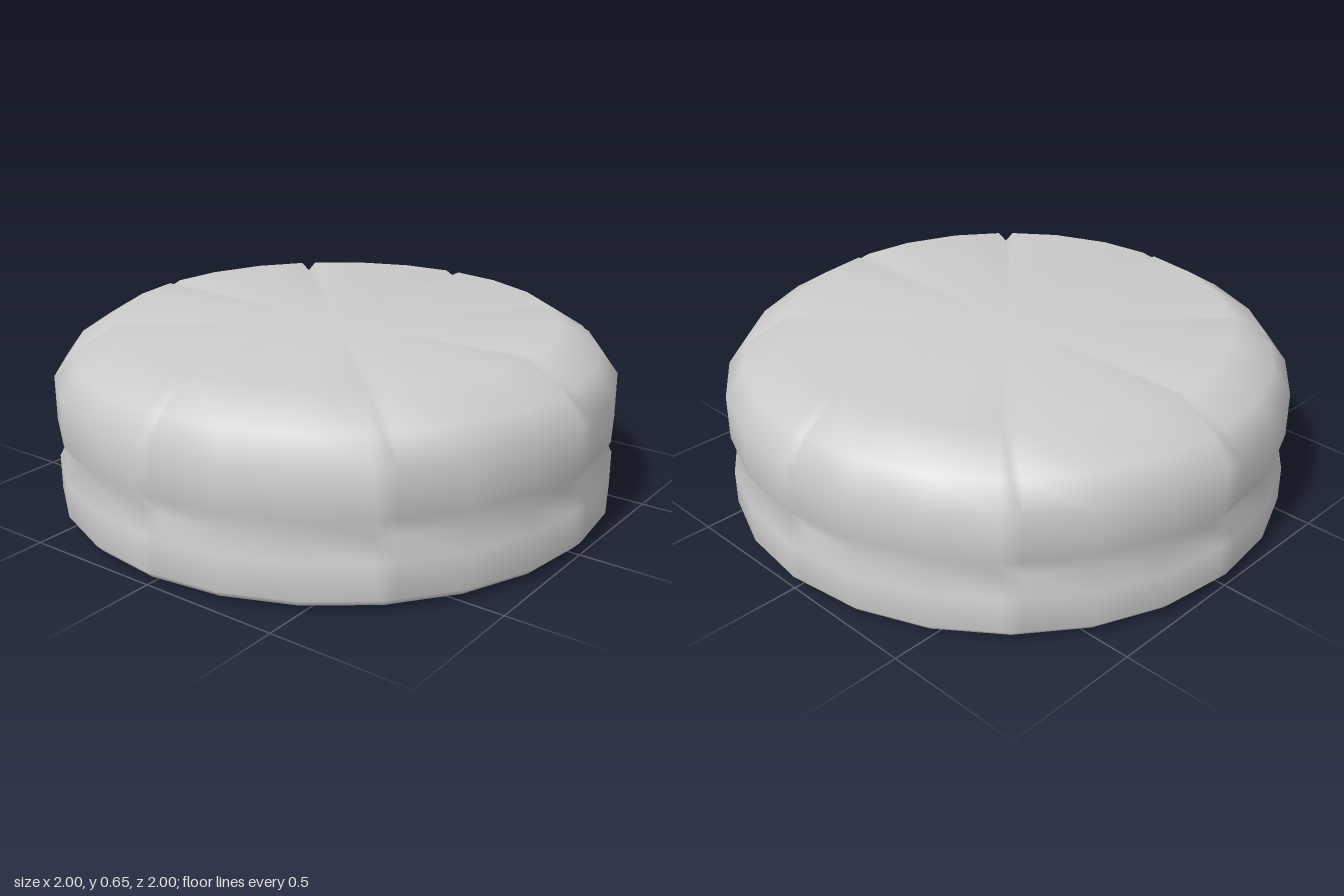
import * as THREE from 'three';

// Outer profile from bottom to top: radius, height, groove inset, groove drop
const PROFILE = [
  [0.93, 0, 0, 0],
  [0.975, 0.018, 0, 0],
  [1, 0.045, 0, 0],
  [1, 0.17, 0, 0],
  [0.965, 0.24, 0.01, 0],
  [1, 0.31, 0, 0],
  [1, 0.47, 0, 0],
  [0.935, 0.56, 0.025, 0.01],
  [0.79, 0.65, 0.015, 0.028],
];
const CENTRE_Y = 0.625;
const WEDGES = 8;
const GROOVE = 2; // half angle of a groove, degrees

// Columns around the body: each wedge has a groove line, two groove edges and two plain columns
function makeColumns() {
  const rad = THREE.MathUtils.degToRad;
  const edge = Math.cos(rad(7.5)) / Math.cos(rad(7.5 - GROOVE)); // keeps groove edges on the 24-sided outline
  const columns = [];
  for (let k = 0; k < WEDGES; k++) {
    for (const offset of [-GROOVE, 0, GROOVE, 15, 30]) {
      columns.push({
        angle: rad(k * 45 + offset),
        scale: Math.abs(offset) === GROOVE ? edge : 1,
        groove: offset === 0 ? 1 : 0,
      });
    }
  }
  return columns;
}

function makeBody() {
  const columns = makeColumns();
  const n = columns.length;
  const positions = [];
  const index = [];
  for (const [r, y, inset, drop] of PROFILE) {
    for (const { angle, scale, groove } of columns) {
      const radius = r * scale - inset * groove;
      positions.push(radius * Math.cos(angle), y - drop * groove, -radius * Math.sin(angle));
    }
  }
  const centre = positions.length / 3;
  positions.push(0, CENTRE_Y, 0);

  const last = PROFILE.length - 1;
  for (let j = 0; j < n; j++) {
    const next = (j + 1) % n;
    for (let i = 0; i < last; i++) {
      const a = i * n + j, b = i * n + next;
      index.push(a, b, a + n, b, b + n, a + n);
    }
    // Shallow dished top
    index.push(last * n + j, last * n + next, centre);
  }
  const geometry = new THREE.BufferGeometry();
  geometry.setAttribute('position', new THREE.Float32BufferAttribute(positions, 3));
  geometry.setIndex(index);
  geometry.computeVertexNormals();
  return geometry;
}

export function createModel() {
  const group = new THREE.Group();
  group.name = 'scoredRoundBun';
  const material = new THREE.MeshStandardMaterial({ color: 0xcccccc });

  const body = new THREE.Mesh(makeBody(), material);
  body.name = 'groovedBody';

  // Flat underside
  const base = new THREE.Mesh(new THREE.CircleGeometry(PROFILE[0][0], 24).rotateX(Math.PI / 2), material);
  base.name = 'flatBase';

  group.add(body, base);
  return group;
}
